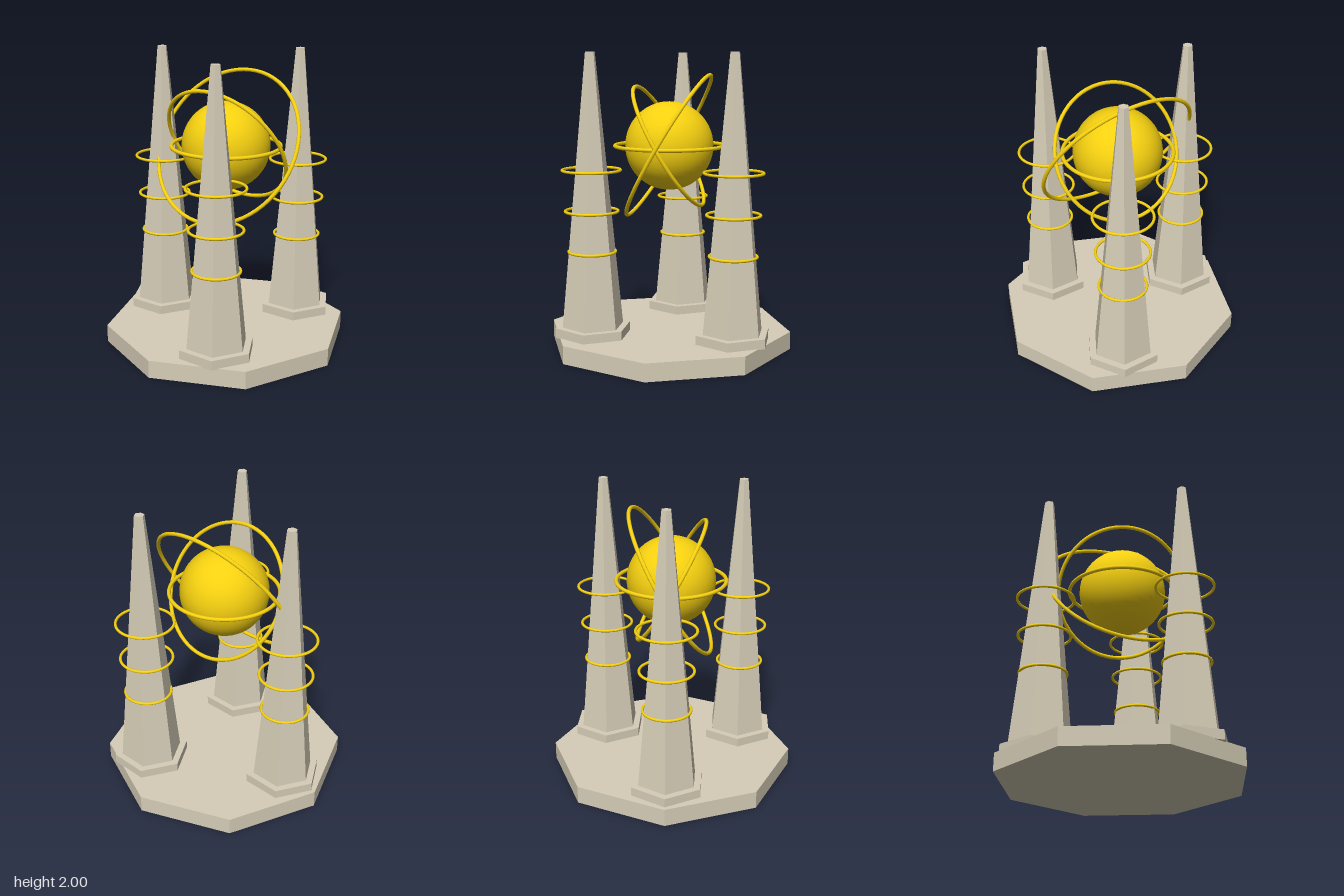
import * as THREE from 'three';

export function createModel() {
  const model = new THREE.Group();
  const stone = new THREE.MeshStandardMaterial({ color: 0xd6cdb7, flatShading: true });
  const gold = new THREE.MeshStandardMaterial({ color: 0xf5d010 });

  const add = (parent, name, geometry, material, y = 0) => {
    const mesh = new THREE.Mesh(geometry, material);
    mesh.name = name;
    mesh.position.y = y;
    parent.add(mesh);
    return mesh;
  };
  // prism or tapered prism standing between two heights
  const prism = (rTop, rBottom, y0, y1, sides) =>
    new THREE.CylinderGeometry(rTop, rBottom, y1 - y0, sides).translate(0, (y0 + y1) / 2, 0);
  // ring lying flat
  const ring = (radius, tube, segments) =>
    new THREE.TorusGeometry(radius, tube, 10, segments).rotateX(Math.PI / 2);

  // octagonal base
  add(model, 'base', prism(0.835, 0.835, 0, 0.12, 8), stone);

  // three hexagonal spires, each with a plinth and floating rings
  for (let i = 0; i < 3; i++) {
    const angle = Math.PI + (i * Math.PI * 2) / 3;
    const spire = new THREE.Group();
    spire.name = 'spire' + (i + 1);
    spire.position.set(Math.sin(angle) * 0.545, 0, Math.cos(angle) * 0.545);
    add(spire, 'plinth', prism(0.26, 0.26, 0.115, 0.18, 6), stone);
    add(spire, 'column', prism(0.033, 0.213, 0.15, 2, 6), stone);
    [[0.157, 0.685], [0.176, 0.957], [0.193, 1.23]].forEach(([radius, y], k) =>
      add(spire, 'spireRing' + (k + 1), ring(radius, 0.0095, 40), gold, y));
    model.add(spire);
  }

  // central globe with three orbit rings
  const globe = new THREE.Group();
  globe.name = 'globe';
  globe.position.y = 1.375;
  add(globe, 'sphere', new THREE.SphereGeometry(0.298, 40, 28), gold);
  [[0.367, 0], [0.457, -Math.PI / 3], [0.547, Math.PI / 3]].forEach(([radius, tilt], k) => {
    add(globe, 'orbitRing' + (k + 1), ring(radius, 0.013, 64), gold).rotation.z = tilt;
  });
  model.add(globe);

  return model;
}
